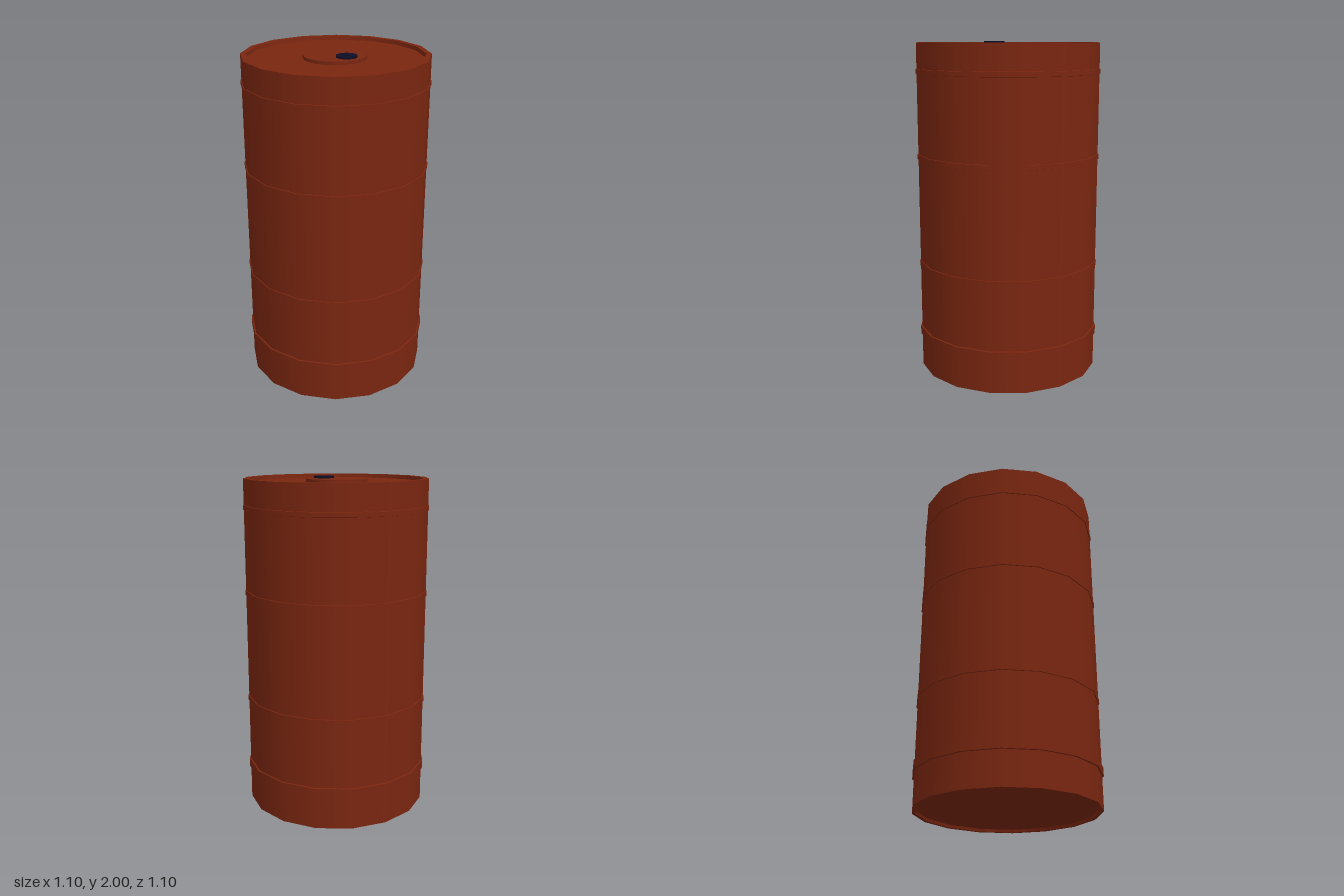
import * as THREE from 'three';

const SIDES = 16;

export function createModel() {
  const rust = new THREE.MeshStandardMaterial({ color: 0x7a2610 });
  rust.name = 'rustRed';
  const navy = new THREE.MeshStandardMaterial({ color: 0x0d0d26 });
  navy.name = 'darkNavy';
  const barrel = new THREE.Group();
  barrel.name = 'barrel';

  // Turned part: round around the axis, with a crisp edge at each profile point
  function turned(name, profile, material, sides = SIDES) {
    const part = new THREE.Group();
    part.name = name;
    for (let i = 0; i < profile.length - 1; i++) {
      const points = [profile[i], profile[i + 1]].map(([r, y]) => new THREE.Vector2(r, y));
      const mesh = new THREE.Mesh(new THREE.LatheGeometry(points, sides), material);
      mesh.name = name + 'Surface' + (i + 1);
      part.add(mesh);
    }
    barrel.add(part);
    return part;
  }

  // Shallow domed base, wall, rim and recessed lid
  turned('base', [[0, 0.003], [0.34, 0.006], [0.515, 0.038], [0.52, 0.022], [0.541, 0.022]], rust);
  turned('wall', [[0.541, 0.022], [0.541, 1.993]], rust);
  turned('rim', [[0.541, 1.993], [0.51, 1.993], [0.507, 1.97]], rust);
  turned('lid', [[0.507, 1.97], [0, 1.97]], rust);

  // Raised hoops: bottom, top, radius
  const hoops = [[0.22, 0.277, 0.55], [0.66, 0.694, 0.546], [1.313, 1.347, 0.546], [1.812, 1.845, 0.546]];
  hoops.forEach(([low, high, r], i) =>
    turned('hoop' + (i + 1), [[0.535, low], [r, low + 0.003], [r, high - 0.003], [0.535, high]], rust));

  // Raised plate in the middle of the lid
  const plate = turned('lidPlate', [[0.183, 1.969], [0.183, 1.989], [0, 1.989]], rust);
  plate.position.x = -0.007;

  // Filler cap with a slot between two half discs
  const cap = turned('fillerCap', [[0.06, 1.985], [0.06, 1.994], [0, 1.994]], navy, 24);
  cap.position.set(-0.007, 0, 0.093);
  const half = new THREE.Shape();
  half.absarc(0, 0, 0.06, -Math.PI / 2 + 0.08, Math.PI / 2 - 0.08);
  const halfGeometry = new THREE.ExtrudeGeometry(half, { depth: 0.007, bevelEnabled: false, curveSegments: 12 });
  halfGeometry.rotateX(-Math.PI / 2);
  for (const turn of [0, Math.PI]) {
    const mesh = new THREE.Mesh(halfGeometry, navy);
    mesh.name = turn ? 'rightCapHalf' : 'leftCapHalf';
    mesh.position.y = 1.993;
    mesh.rotation.y = turn;
    cap.add(mesh);
  }

  return barrel;
}
